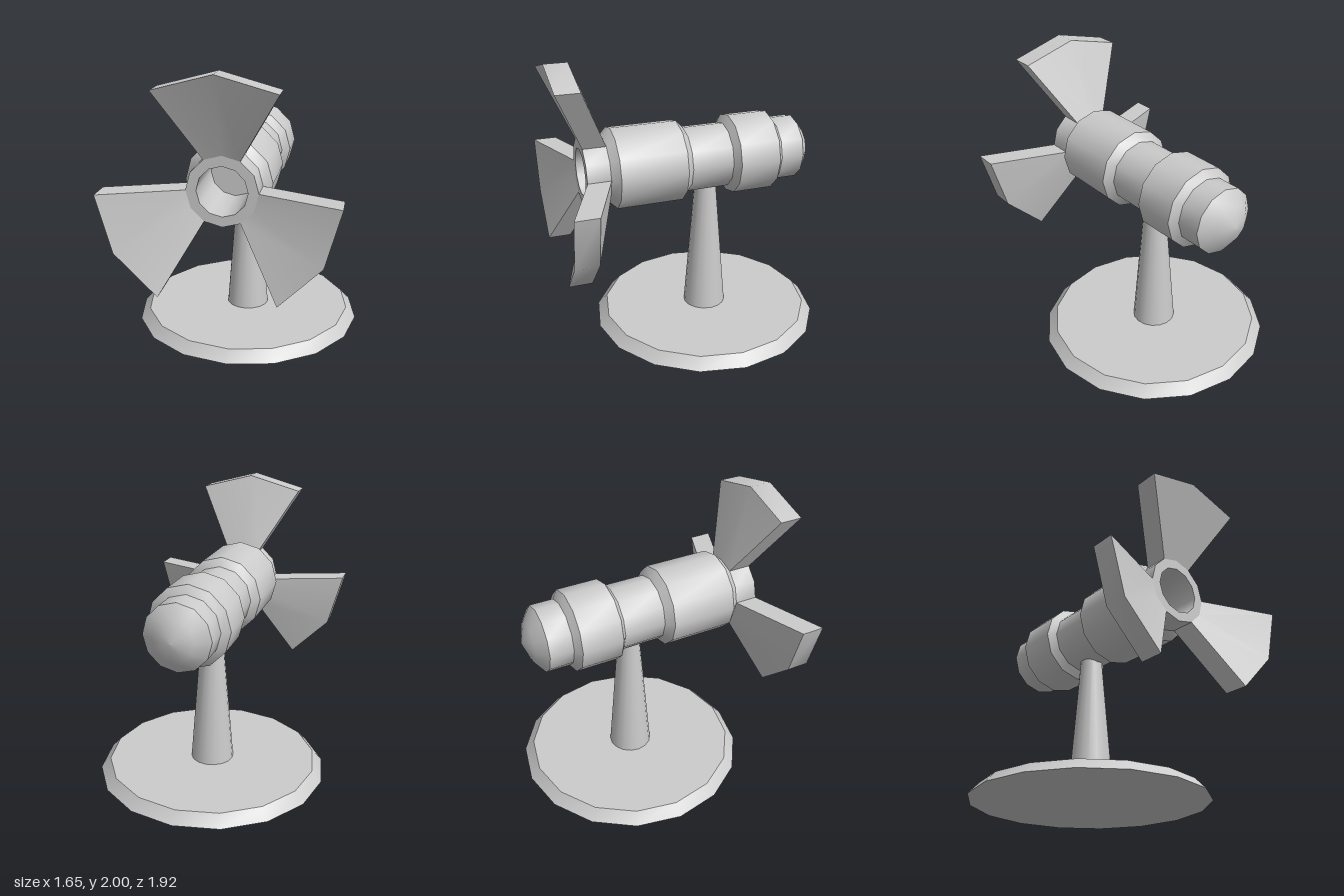
import * as THREE from 'three';
import { toCreasedNormals } from 'three/addons/utils/BufferGeometryUtils.js';

const CREASE = 0.6;
const AXIS_Y = 1.25;
const POST_Z = -0.135;
const material = new THREE.MeshStandardMaterial({ color: 0xcccccc });

function addMesh(parent, name, geometry) {
  const mesh = new THREE.Mesh(toCreasedNormals(geometry, CREASE), material);
  mesh.name = name;
  parent.add(mesh);
  return mesh;
}

// Blade: rectangular cross-sections swept around the hub axis, flaring forward
function bladeGeometry() {
  const corners = [[0.23, 0.765], [0.75, 0.96], [0.75, 0.8], [0.23, 0.605]]; // radius, z
  const positions = [];
  const index = [];
  const quad = (a, b, c, d) => index.push(a, b, c, a, c, d);
  for (const degrees of [60, 90, 120]) {
    const angle = THREE.MathUtils.degToRad(degrees);
    for (const [r, z] of corners) positions.push(r * Math.cos(angle), r * Math.sin(angle), z);
  }
  for (let s = 0; s < 8; s += 4) {
    for (let k = 0; k < 3; k++) quad(s + k, s + k + 1, s + k + 5, s + k + 4);
  }
  quad(1, 0, 3, 2);
  quad(8, 9, 10, 11);
  const geometry = new THREE.BufferGeometry();
  geometry.setAttribute('position', new THREE.Float32BufferAttribute(positions, 3));
  geometry.setIndex(index);
  geometry.computeVertexNormals();
  return geometry;
}

export function createModel() {
  const model = new THREE.Group();
  model.name = 'finnedTubeOnStand';

  // Stand
  const base = addMesh(model, 'base', new THREE.CylinderGeometry(0.755, 0.825, 0.075, 16));
  base.position.set(0, 0.0375, POST_Z);
  const post = addMesh(model, 'post', new THREE.CylinderGeometry(0.076, 0.155, 0.985, 16));
  post.position.set(0, 0.5625, POST_Z);

  // Body from domed tail to hollow hub: radius, z
  const profile = [
    [0, -0.91], [0.14, -0.862], [0.23, -0.795], [0.23, -0.63],
    [0.285, -0.59], [0.285, -0.3], [0.23, -0.262], [0.23, 0.035],
    [0.285, 0.085], [0.285, 0.55], [0.23, 0.605], [0.23, 0.765],
    [0.163, 0.765], [0.163, 0.35], [0, 0.35],
  ].map(([r, z]) => new THREE.Vector2(r, z));
  const body = addMesh(model, 'body', new THREE.LatheGeometry(profile, 12).rotateX(Math.PI / 2));
  body.position.y = AXIS_Y;

  // Three blades around the hub
  const blades = new THREE.Group();
  blades.name = 'blades';
  blades.position.y = AXIS_Y;
  for (let i = 0; i < 3; i++) {
    addMesh(blades, 'blade' + (i + 1), bladeGeometry()).rotation.z = (i * Math.PI * 2) / 3;
  }
  model.add(blades);

  return model;
}
